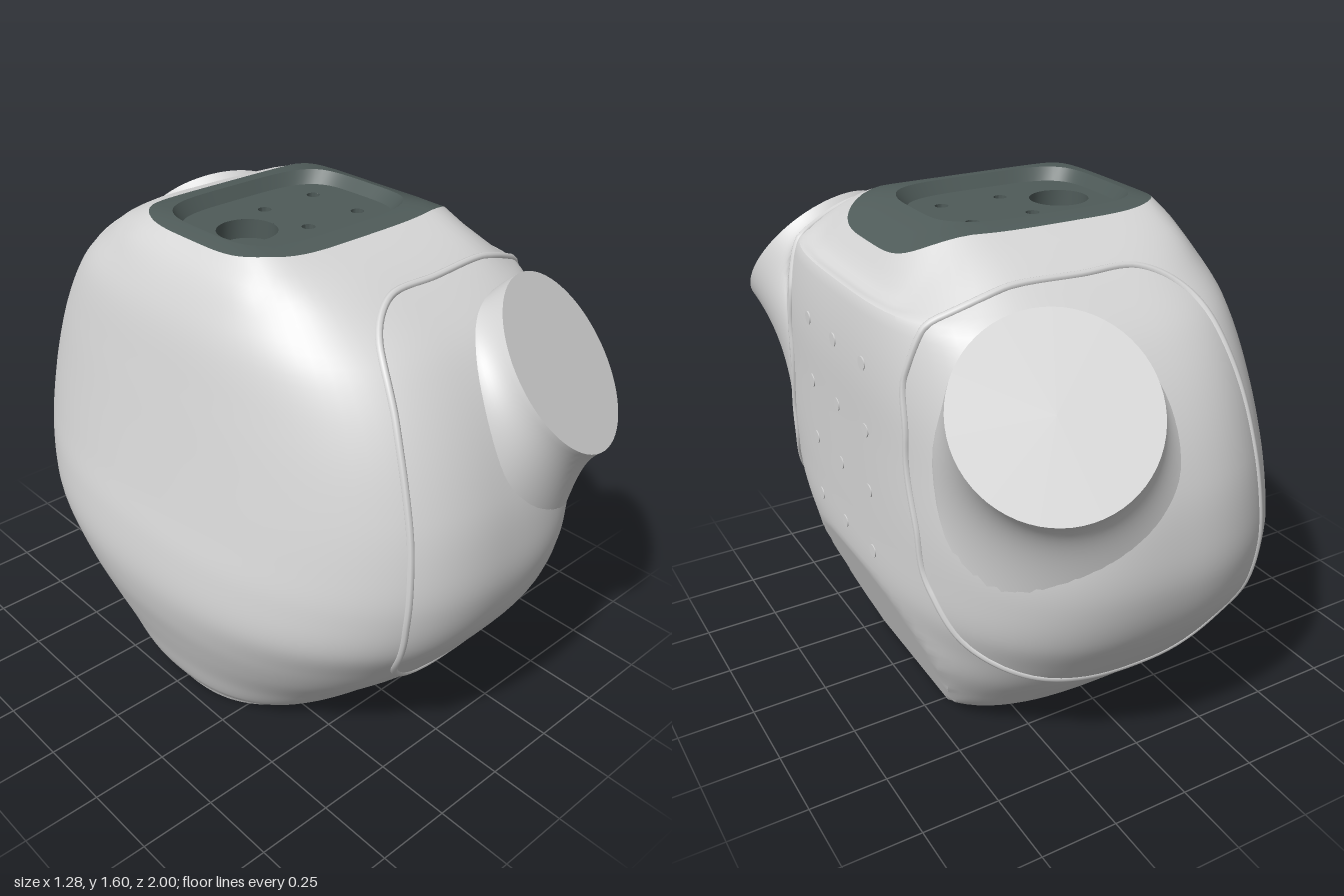
import * as THREE from 'three';
import { mergeVertices, toCreasedNormals } from 'three/addons/utils/BufferGeometryUtils.js';

const SEG = 96;
// Body profile rows: y, left reach, right reach, half depth, left and right squareness
const ROWS = [
  [0, 0.45, 0.48, 0.39, 2.5, 2.9],
  [0.03, 0.46, 0.5, 0.41, 2.5, 2.9],
  [0.06, 0.49, 0.525, 0.48, 2.4, 2.9],
  [0.18, 0.535, 0.56, 0.61, 2.3, 2.8],
  [0.3, 0.58, 0.595, 0.73, 2.3, 2.7],
  [0.42, 0.62, 0.612, 0.825, 2.3, 2.7],
  [0.55, 0.64, 0.63, 0.905, 2.4, 2.8],
  [0.7, 0.628, 0.632, 0.948, 2.4, 2.9],
  [0.83, 0.6, 0.632, 0.948, 2.45, 3],
  [1.0, 0.565, 0.632, 0.915, 2.5, 3],
  [1.2, 0.525, 0.632, 0.83, 2.6, 3.1],
  [1.36, 0.49, 0.618, 0.715, 2.7, 3.3],
  [1.47, 0.45, 0.592, 0.58, 2.8, 3.7],
  [1.54, 0.415, 0.55, 0.475, 3.2, 4],
  [1.58, 0.385, 0.52, 0.385, 3.6, 4],
  [1.6, 0.365, 0.5, 0.318, 4, 4],
];

// Smooth interpolation of the profile at height y
function profile(y) {
  let i = 0;
  while (i < ROWS.length - 2 && y > ROWS[i + 1][0]) i++;
  const a = ROWS[i], b = ROWS[i + 1], p = ROWS[i - 1] || a, q = ROWS[i + 2] || b;
  const h = b[0] - a[0], t = (y - a[0]) / h, t2 = t * t, t3 = t2 * t;
  return [1, 2, 3, 4, 5].map((k) => {
    const m0 = ((b[k] - p[k]) / (b[0] - p[0])) * h, m1 = ((q[k] - a[k]) / (q[0] - a[0])) * h;
    return (2 * t3 - 3 * t2 + 1) * a[k] + (t3 - 2 * t2 + t) * m0 + (3 * t2 - 2 * t3) * b[k] + (t3 - t2) * m1;
  });
}

// Rounded outline in plan, running counterclockwise from +x
function oval([left, right, depth, nl, nr]) {
  return Array.from({ length: SEG }, (_, j) => {
    const c = Math.cos((j / SEG) * 2 * Math.PI), s = Math.sin((j / SEG) * 2 * Math.PI);
    const n = c < 0 ? nl : nr;
    const r = (Math.abs(c) ** n + Math.abs(s) ** n) ** (-1 / n);
    return [r * c * (c < 0 ? left : right), -r * s * depth];
  });
}

// The top rolls down at its edges; the lower right is cut by a sloping plane
function settle(x, y, z) {
  const over = (v, from) => Math.max(0, v - from);
  const sides = 2 * over(x, 0.3) ** 2 + 2 * Math.min(over(-x, 0.28), 0.09) ** 2;
  const ends = 1.5 * Math.min(over(Math.abs(z), 0.23), 0.09) ** 2;
  const drop = (sides + ends) * THREE.MathUtils.smoothstep(y, 1.4, 1.6);
  return new THREE.Vector3(Math.min(x, 0.42 + 0.4 * y), y - drop, z);
}

// Point on the front of the body at x, y
function onBody(x, y, inset = 0) {
  const [l, r, d, nl, nr] = profile(y);
  const n = x < 0 ? nl : nr, u = Math.min(1, Math.abs(x) / (x < 0 ? l : r));
  return settle(x, y, d * (1 - u ** n) ** (1 / n) - inset);
}

// Reach of the flat side at y, z
function sideX(y, z) {
  const [, right, depth, , n] = profile(y);
  return right * (1 - (Math.abs(z) / depth) ** n) ** (1 / n);
}

// Skin over a list of closed rings
function loft(rings, flip = false, crease = 0.5) {
  const n = rings[0].length, index = [];
  for (let i = 0; i < rings.length - 1; i++) {
    for (let j = 0; j < n; j++) {
      const a = i * n + j, b = i * n + ((j + 1) % n), c = b + n, d = a + n;
      if (flip) index.push(a, c, b, a, d, c);
      else index.push(a, b, c, a, c, d);
    }
  }
  const g = new THREE.BufferGeometry().setFromPoints(rings.flat());
  g.setIndex(index);
  return toCreasedNormals(mergeVertices(g, 1e-5), crease);
}

export function createModel() {
  const group = new THREE.Group();
  const shell = new THREE.MeshStandardMaterial({ color: 0xd6d6d6 });
  shell.name = 'light grey shell';
  const dark = new THREE.MeshStandardMaterial({ color: 0x4f5b59 });
  dark.name = 'dark green grey';
  const add = (name, geometry, material, parent = group) => {
    const m = new THREE.Mesh(geometry, material);
    m.name = name;
    parent.add(m);
    return m;
  };
  const V = (x, y, z) => new THREE.Vector3(x, y, z);

  // Body with a flat base
  const heights = [0, 0.03, 0.06];
  for (let i = 1; i <= 64; i++) heights.push(0.06 + (1.54 * i) / 64);
  const bodyRings = heights.map((y) => oval(profile(y)).map(([x, z]) => settle(x, y, z)));
  const base = bodyRings[0].map(() => V(0, 0, 0));
  add('body', loft([base, ...bodyRings]), shell);

  // Neck plate with a sunken socket
  const top = bodyRings[bodyRings.length - 1];
  const recess = oval([0.31, 0.35, 0.25, 4, 4]);
  const lip = recess.map(([x, z]) => settle(x, 1.6, z));
  const middle = top.map((p, j) => settle((p.x + lip[j].x) / 2, 1.6, (p.z + lip[j].z) / 2));
  const floorOutline = oval([0.29, 0.32, 0.225, 4, 4]);
  const floorY = 1.56;
  const foot = floorOutline.map(([x, z]) => V(x, floorY, z));
  add('neckPlate', loft([top, middle, lip, foot]), dark);

  const floor = new THREE.Shape(floorOutline.map(([x, z]) => new THREE.Vector2(x, -z)));
  const sockets = [[-0.15, 0, 0.093, 0.06]];
  for (const x of [0.005, 0.21]) for (const z of [-0.1, 0.1]) sockets.push([x, z, 0.021, 0.04]);
  for (const [x, z, r, depth] of sockets) {
    const hole = new THREE.Path();
    hole.absarc(x, -z, r, 0, Math.PI * 2, true);
    floor.holes.push(hole);
    const circle = (y, k) => Array.from({ length: 32 }, (_, j) => {
      const t = (j / 32) * Math.PI * 2;
      return V(x + k * r * Math.cos(t), y, z - k * r * Math.sin(t));
    });
    add('neckSocketHole', loft([circle(floorY, 1), circle(floorY - depth, 1), circle(floorY - depth, 0)]), dark);
  }
  const floorGeo = new THREE.ShapeGeometry(floor, 24);
  floorGeo.rotateX(-Math.PI / 2).translate(0, floorY, 0);
  add('neckSocketFloor', floorGeo, dark);

  // Outline of the shoulder panel as seen from the front
  const outline = new THREE.CatmullRomCurve3([
    [-0.3, 0.95], [-0.312, 0.65], [-0.27, 0.45], [-0.16, 0.345], [0, 0.32], [0.2, 0.34],
    [0.4, 0.4], [0.53, 0.5], [0.588, 0.65], [0.603, 0.85], [0.605, 1.1], [0.59, 1.3],
    [0.52, 1.45], [0.35, 1.505], [0.1, 1.51], [-0.1, 1.5], [-0.21, 1.42], [-0.265, 1.25],
  ].map(([x, y]) => V(x, y, 0)), true);

  // Shoulder mounts: flared from the body to a tilted disc, mirrored front and back
  for (const [side, s] of [['front', 1], ['back', -1]]) {
    const mount = new THREE.Group();
    mount.name = side + 'ShoulderMount';
    group.add(mount);
    const normal = V(0.26, 0.61, 0.747).normalize();
    const center = V(0.355, 1.262, 0.81);
    const u = V(1, 0, 0).addScaledVector(normal, -normal.x).normalize();
    const v = normal.clone().cross(u);
    const rings = Array.from({ length: 25 }, () => []);
    for (let j = 0; j < 64; j++) {
      const t = (j / 64) * Math.PI * 2, c = Math.cos(t), k = Math.sin(t);
      const r = (Math.abs(c) ** 2.6 + Math.abs(k) ** 2.6) ** (-1 / 2.6);
      const rim = center.clone().addScaledVector(u, 0.285 * c).addScaledVector(v, 0.285 * k);
      const neck = rim.clone().addScaledVector(normal, -0.14);
      const root = onBody(0.15 + 0.43 * r * c, 0.98 + 0.48 * r * k, 0.004);
      const spread = root.clone().lerp(neck, 0.6);
      const skirt = onBody(spread.x, spread.y, -0.015);
      const curve = new THREE.CubicBezierCurve3(root, skirt, neck, rim);
      for (let i = 0; i <= 24; i++) rings[i].push(curve.getPoint(i / 24));
    }
    rings.push(rings[24].map(() => center.clone()));
    rings.forEach((ring) => ring.forEach((p) => (p.z *= s)));
    add('shoulder', loft(rings, s < 0), shell, mount);

    // Soft seam around the shoulder panel
    const path = new THREE.CatmullRomCurve3(outline.getSpacedPoints(90).slice(0, 90).map((p) => {
      const q = onBody(p.x, p.y, 0.006);
      return V(q.x, q.y, q.z * s);
    }), true);
    add('panelSeam', new THREE.TubeGeometry(path, 180, 0.012, 8, true), shell, mount);
  }

  // Grid of fixing points lying on the flat side
  for (const y of [0.62, 0.83, 1.03, 1.24]) {
    for (const z of [-0.207, 0, 0.207]) {
      const disc = new THREE.CylinderGeometry(0.021, 0.021, 0.006, 24);
      disc.rotateZ(-Math.PI / 2);
      const point = add('fixingPoint', disc, shell);
      point.position.set(sideX(y, z), y, z);
      point.rotation.y = Math.atan((sideX(y, z + 0.02) - sideX(y, z - 0.02)) / 0.04);
    }
  }
  return group;
}
